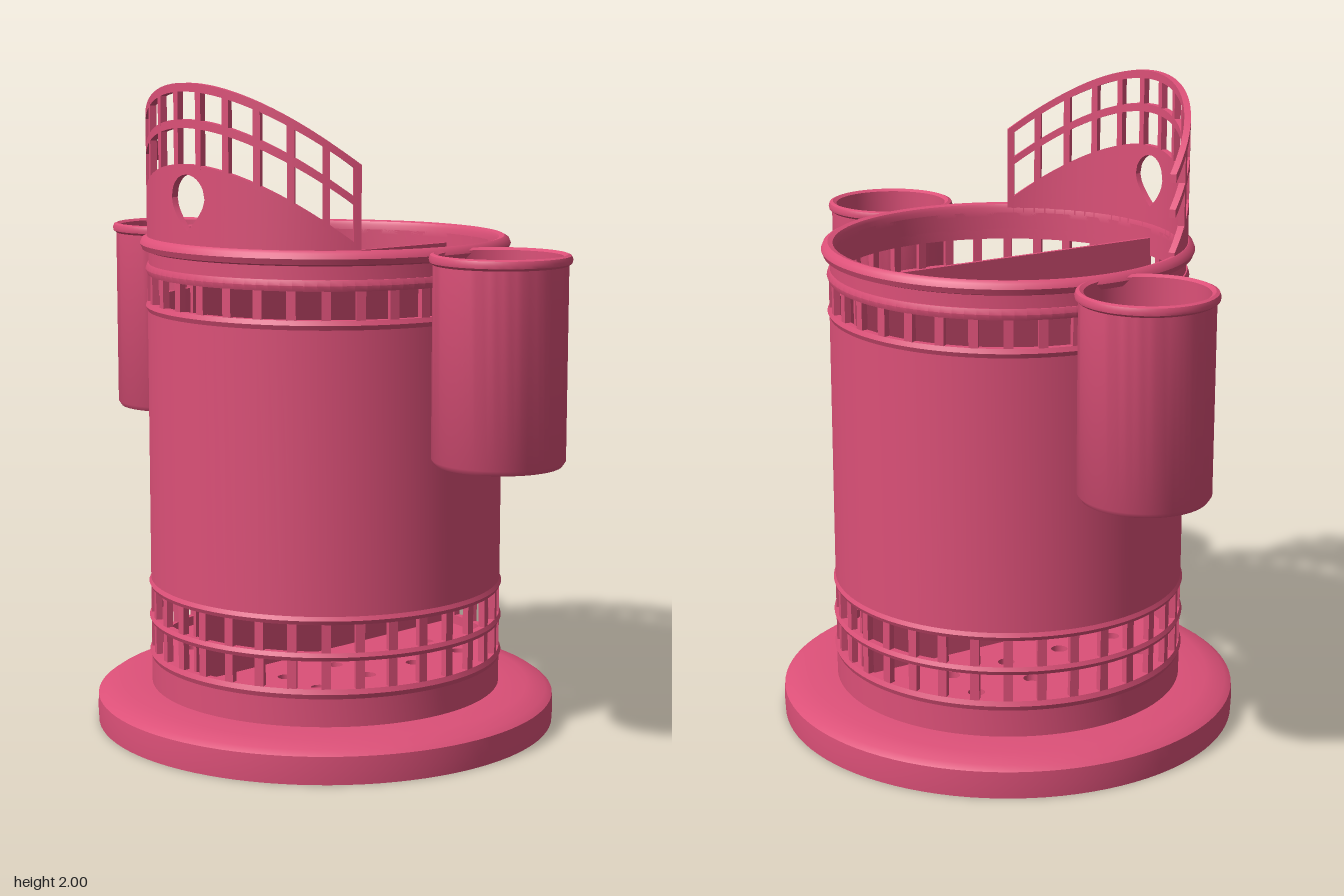
import * as THREE from 'three';
import { mergeGeometries, toCreasedNormals } from 'three/addons/utils/BufferGeometryUtils.js';

const R = 0.55, WALL = 0.02, COUNT = 34, PITCH = (Math.PI * 2) / COUNT;
const END = 5.5 * PITCH; // half angle of the crest

const rose = new THREE.MeshStandardMaterial({ color: 0xdc5078 });
rose.name = 'rose';

function mesh(name, geometry) {
  const m = new THREE.Mesh(geometry, rose);
  m.name = name;
  return m;
}

// Closed ring turned from [radius, height] points, outer side upwards first
function turned(points, segments = 96) {
  const g = new THREE.LatheGeometry(points.map(p => new THREE.Vector2(p[0], p[1])), segments);
  return toCreasedNormals(g, 0.7);
}

// Slab bent round the y axis between two angles; low and high may depend on the angle
function bent(a0, a1, low, high, steps = 1, outer = R, inner = R - WALL) {
  const at = (v, a) => (typeof v === 'function' ? v(a) : v);
  const g = new THREE.BoxGeometry(1, 1, 1, steps, 1, 1);
  const p = g.attributes.position;
  for (let i = 0; i < p.count; i++) {
    const a = a0 + (p.getX(i) + 0.5) * (a1 - a0);
    const y = p.getY(i) > 0 ? at(high, a) : at(low, a);
    const r = p.getZ(i) > 0 ? outer : inner;
    p.setXYZ(i, r * Math.sin(a), y, r * Math.cos(a));
  }
  return toCreasedNormals(g, 0.7);
}

// Rail with a slightly proud rounded face
function rail(low, high) {
  const mid = (low + high) / 2, i = R - WALL;
  return turned([[R, low], [R + 0.006, mid], [R, high], [i, high], [i, low], [R, low]]);
}

// Upright bars between the openings of a band
function bars(low, high) {
  const list = [];
  const half = 0.014 / R;
  for (let i = 0; i < COUNT; i++) {
    const a = (i + 0.5) * PITCH;
    list.push(bent(a - half, a + half, low, high));
  }
  return mergeGeometries(list);
}

// Line of the crest, falling towards its ends
const arch = top => a => top - 0.87 * R * (1 - Math.cos(a));

function crest() {
  const group = new THREE.Group();
  group.name = 'crest';

  // Solid panel with a teardrop opening
  const w = 0.137, mid = 1.665;
  const holeTop = a => mid + 0.07 * Math.sqrt(Math.max(0, 1 - (a / w) ** 2));
  const holeLow = a => mid - 0.095 * Math.max(0, 1 - Math.abs(a / w)) ** 0.6;
  group.add(mesh('crestPanel', mergeGeometries([
    bent(-END, -w, 1.5, arch(1.765), 24),
    bent(w, END, 1.5, arch(1.765), 24),
    bent(-w, w, 1.5, holeLow, 24),
    bent(-w, w, holeTop, arch(1.765), 24),
  ])));

  // Open lattice above the panel
  const lattice = [
    bent(-END, END, arch(1.87), arch(1.895), 48),
    bent(-END, END, arch(1.975), arch(2), 48),
  ];
  const half = 0.011 / R;
  for (let i = 1; i <= 11; i++) {
    const a = -END + i * PITCH - (i === 11 ? half : 0);
    lattice.push(bent(a - half, a + half, arch(1.75), arch(1.985), 2));
  }
  group.add(mesh('crestLattice', mergeGeometries(lattice)));
  return group;
}

// Small side cup with a rolled lip
function cup(side) {
  const g = turned([
    [0, 0.91], [0.185, 0.91], [0.195, 0.925], [0.195, 1.49], [0.204, 1.497],
    [0.206, 1.507], [0.202, 1.518], [0.192, 1.522], [0.18, 1.515], [0.18, 0.935], [0, 0.935],
  ], 64);
  const m = mesh(side > 0 ? 'leftCup' : 'rightCup', g);
  m.position.x = side * 0.74;
  return m;
}

// Inner floor pierced by drain holes
function floor() {
  const shape = new THREE.Shape().absarc(0, 0, R - 0.01, 0, Math.PI * 2);
  for (const x of [-0.3, -0.15, 0.15, 0.3]) {
    for (const z of [-0.3, -0.1, 0.1, 0.3]) {
      shape.holes.push(new THREE.Path().absarc(x, z, 0.026, 0, Math.PI * 2, true));
    }
  }
  const g = new THREE.ExtrudeGeometry(shape, { depth: 0.02, bevelEnabled: false, curveSegments: 24 });
  g.rotateX(-Math.PI / 2);
  const m = mesh('drainFloor', g);
  m.position.y = 0.185;
  return m;
}

export function createModel() {
  const model = new THREE.Group();
  model.name = 'planter';
  const inner = R - WALL;

  // Foot
  model.add(mesh('base', turned([
    [0, 0], [0.72, 0], [0.722, 0.04], [0.72, 0.085], [0.7, 0.099], [0.64, 0.112], [0.56, 0.12], [0, 0.12],
  ])));
  model.add(mesh('lowerWall', turned([
    [R, 0.11], [R, 0.205], [inner, 0.205], [inner, 0.11], [R, 0.11],
  ])));

  // Body wall
  model.add(mesh('body', turned([
    [R, 0.45], [R, 1.305], [inner, 1.305], [inner, 0.45], [R, 0.45],
  ])));
  model.add(floor());

  // Pierced bands
  model.add(mesh('lowerBars', bars(0.22, 0.44)));
  model.add(mesh('upperBars', bars(1.31, 1.43)));
  for (const [low, high] of [[0.205, 0.235], [0.32, 0.345], [0.43, 0.455], [1.3, 1.328], [1.412, 1.445]]) {
    model.add(mesh('rail', rail(low, high)));
  }

  // Neck and rolled rim
  model.add(mesh('neck', turned([
    [R - 0.004, 1.44], [R - 0.004, 1.5], [inner, 1.5], [inner, 1.44], [R - 0.004, 1.44],
  ])));
  model.add(mesh('rim', turned([
    [0.55, 1.485], [0.565, 1.49], [0.572, 1.507], [0.566, 1.522], [0.552, 1.53],
    [0.536, 1.526], [0.53, 1.515], [0.53, 1.485], [0.55, 1.485],
  ])));

  // Central partition
  const divider = mesh('divider', new THREE.BoxGeometry(0.012, 1.27, 2 * inner + 0.01));
  divider.position.y = 0.835;
  model.add(divider);

  model.add(crest(), cup(1), cup(-1));
  return model;
}
